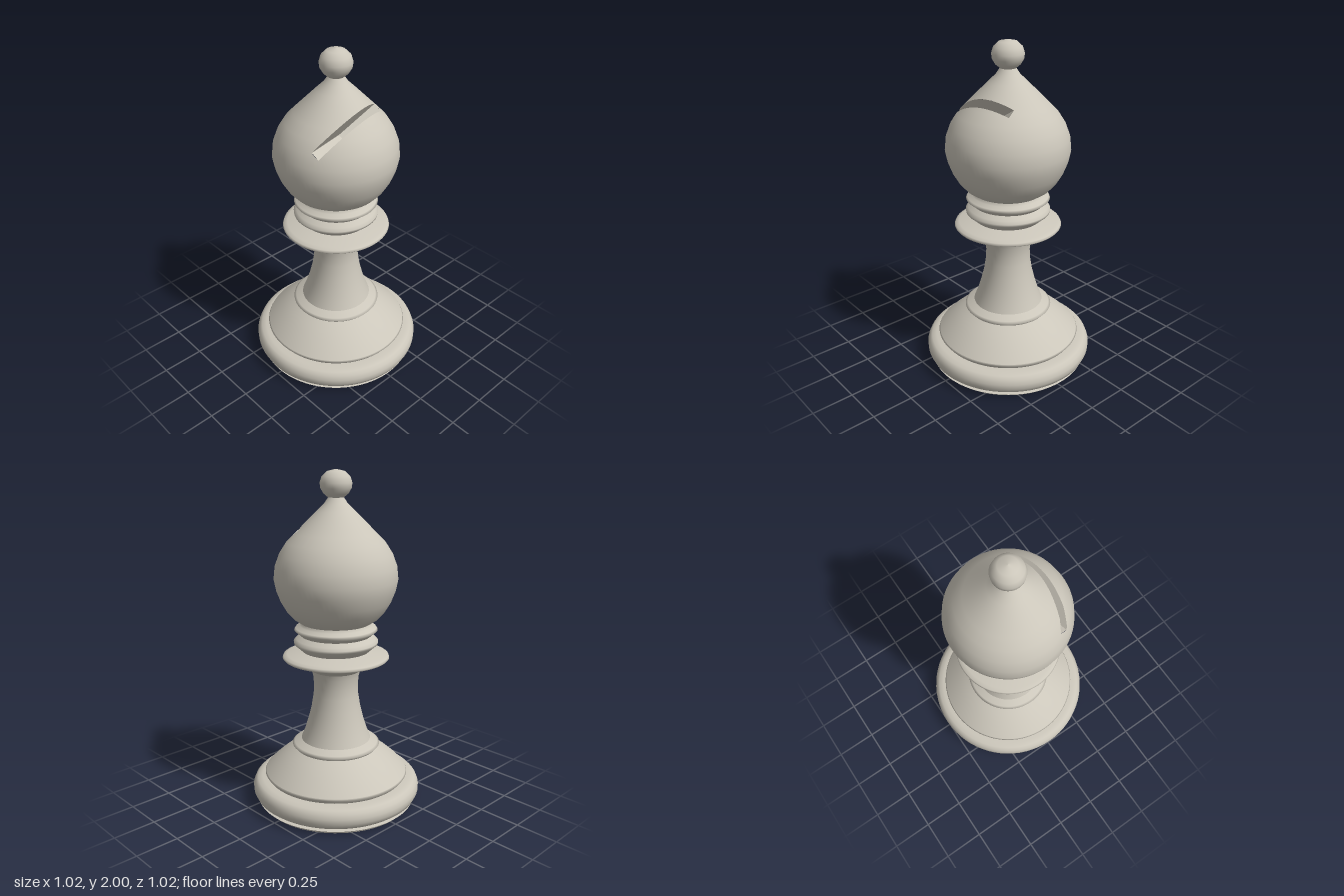
import * as THREE from 'three';

const SEGMENTS = 72;
const V = (x, y, z) => new THREE.Vector3(x, y, z);

const stone = new THREE.MeshStandardMaterial({ color: 0xcbc6ba });
stone.name = 'warm stone';

// Turned profiles as [radius, height], bottom to top; each part starts where the last one ends.
const profiles = {
  bottomDisc: [[0, 0], [0.46, 0]],
  footRim: [[0.46, 0], [0.465, 0.012], [0.483, 0.022]],
  footGroove: [[0.483, 0.022], [0.44, 0.03]],
  baseRoll: [[0.44, 0.03], [0.475, 0.035], [0.497, 0.052], [0.51, 0.08], [0.511, 0.11],
    [0.5, 0.137], [0.483, 0.154], [0.455, 0.162], [0.42, 0.165]],
  baseStep: [[0.42, 0.165], [0.437, 0.188], [0.432, 0.197]],
  baseSlope: [[0.432, 0.197], [0.395, 0.235], [0.345, 0.28], [0.295, 0.32], [0.25, 0.348]],
  baseLip: [[0.25, 0.348], [0.266, 0.366], [0.252, 0.377], [0.21, 0.4]],
  stem: [[0.21, 0.4], [0.19, 0.45], [0.168, 0.52], [0.148, 0.6], [0.135, 0.68],
    [0.132, 0.74], [0.137, 0.8], [0.147, 0.835]],
  collarUnderside: [[0.147, 0.835], [0.18, 0.856], [0.25, 0.885], [0.31, 0.908]],
  collarTop: [[0.31, 0.908], [0.317, 0.916], [0.312, 0.928], [0.29, 0.937], [0.23, 0.95], [0.2, 0.957]],
  lowerRing: [[0.2, 0.957], [0.225, 0.98], [0.248, 1.0], [0.25, 1.014], [0.235, 1.03], [0.208, 1.05]],
  upperRing: [[0.208, 1.05], [0.228, 1.068], [0.246, 1.083], [0.238, 1.096], [0.212, 1.108], [0.205, 1.125]],
  finial: [[0.045, 1.845], [0.07, 1.865], [0.088, 1.895], [0.092, 1.925], [0.081, 1.96],
    [0.052, 1.988], [0, 2]],
};
const headProfile = [[0.205, 1.125], [0.25, 1.155], [0.29, 1.2], [0.322, 1.255], [0.347, 1.32],
  [0.36, 1.385], [0.352, 1.46], [0.326, 1.53], [0.285, 1.594], [0.235, 1.645], [0.18, 1.7],
  [0.11, 1.77], [0.068, 1.81], [0.045, 1.845]];

const turn = (points) =>
  new THREE.LatheGeometry(points.map(([r, y]) => new THREE.Vector2(r, y)), SEGMENTS);

// Head radius at a given height
function headRadius(y) {
  const i = headProfile.findIndex(([, h]) => h > y);
  if (i < 1) return 0;
  const [r0, y0] = headProfile[i - 1], [r1, y1] = headProfile[i];
  return r0 + (r1 - r0) * (y - y0) / (y1 - y0);
}

// Slanted slot: a slab with normal n, bounded below by a wedge opening from its root between a and b
const n = V(-0.796, 0.579, 0.181).normalize();
const half = 0.027;
const onSlab = (p) => p.addScaledVector(n, 0.814 - n.dot(p));
const root = onSlab(V(0.094, 1.525, 0.043));
const a = onSlab(V(0.15, 1.525, 0.28)).sub(root).normalize();
const b = onSlab(V(0.13, 1.65, -0.18)).sub(root).normalize();
const floorA = b.clone().addScaledVector(a, -a.dot(b)).normalize();
const floorB = a.clone().addScaledVector(b, -a.dot(b)).normalize();
const rootLow = root.clone().addScaledVector(n, -half);
const rootHigh = root.clone().addScaledVector(n, half);
const slotPlanes = [
  [n, rootLow], [n.clone().negate(), rootHigh], [floorA, root], [floorB, root],
];

// Splits a convex polygon of { p, n } corners into the parts before and behind a plane
function split(polygon, [normal, origin]) {
  const inside = [], outside = [];
  const side = (v) => normal.dot(v.p) - normal.dot(origin);
  polygon.forEach((v, i) => {
    const w = polygon[(i + 1) % polygon.length];
    const dv = side(v), dw = side(w);
    (dv > 0 ? inside : outside).push(v);
    if ((dv > 0) !== (dw > 0)) {
      const t = dv / (dv - dw);
      const cut = { p: v.p.clone().lerp(w.p, t), n: v.n.clone().lerp(w.n, t).normalize() };
      inside.push(cut);
      outside.push(cut);
    }
  });
  return [inside, outside];
}

function geometryFrom(triangles) {
  const corners = triangles.flat();
  const g = new THREE.BufferGeometry();
  g.setAttribute('position', new THREE.Float32BufferAttribute(corners.flatMap((c) => c.p.toArray()), 3));
  g.setAttribute('normal', new THREE.Float32BufferAttribute(corners.flatMap((c) => c.n.toArray()), 3));
  return g;
}

// Turned head with the slot cut out of its skin
function headGeometry() {
  const g = turn(headProfile).toNonIndexed();
  const { position, normal } = g.attributes;
  const triangles = [];
  const keep = (poly) => {
    for (let i = 2; i < poly.length; i++) triangles.push([poly[0], poly[i - 1], poly[i]]);
  };
  for (let i = 0; i < position.count; i += 3) {
    let rest = [0, 1, 2].map((k) => ({
      p: V().fromBufferAttribute(position, i + k), n: V().fromBufferAttribute(normal, i + k),
    }));
    const kept = [];
    for (const plane of slotPlanes) {
      const [inside, outside] = split(rest, plane);
      kept.push(outside);
      rest = inside;
      if (rest.length < 3) break;
    }
    if (rest.length < 3) keep([0, 1, 2].map((k) => ({
      p: V().fromBufferAttribute(position, i + k), n: V().fromBufferAttribute(normal, i + k),
    })));
    else kept.forEach(keep);
  }
  return geometryFrom(triangles);
}

// Point where a ray from inside the head meets its skin
function skinPoint(from, direction) {
  let near = 0, far = 0.7;
  for (let i = 0; i < 40; i++) {
    const mid = (near + far) / 2;
    const p = from.clone().addScaledVector(direction, mid);
    if (Math.hypot(p.x, p.z) < headRadius(p.y)) near = mid; else far = mid;
  }
  return from.clone().addScaledVector(direction, near);
}

// Two side walls and two floor faces of the slot
function slotGeometry() {
  const triangles = [];
  const add = (p, q, r, normal) => {
    const facing = q.clone().sub(p).cross(r.clone().sub(p)).dot(normal);
    triangles.push((facing > 0 ? [p, q, r] : [p, r, q]).map((c) => ({ p: c, n: normal })));
  };
  const steps = 48;
  for (const [origin, normal] of [[rootLow, n], [rootHigh, n.clone().negate()]]) {
    const rim = Array.from({ length: steps + 1 }, (_, i) =>
      skinPoint(origin, a.clone().lerp(b, i / steps).normalize()));
    for (let i = 0; i < steps; i++) add(origin, rim[i], rim[i + 1], normal);
  }
  for (const [direction, normal] of [[a, floorA], [b, floorB]]) {
    const low = skinPoint(rootLow, direction), high = skinPoint(rootHigh, direction);
    add(rootLow, rootHigh, high, normal);
    add(rootLow, high, low, normal);
  }
  return geometryFrom(triangles);
}

export function createModel() {
  const model = new THREE.Group();
  model.name = 'chessBishop';
  const addPart = (name, geometry) => {
    const mesh = new THREE.Mesh(geometry, stone);
    mesh.name = name;
    model.add(mesh);
  };
  for (const [name, points] of Object.entries(profiles)) addPart(name, turn(points));
  addPart('head', headGeometry());
  addPart('headSlot', slotGeometry());
  return model;
}
